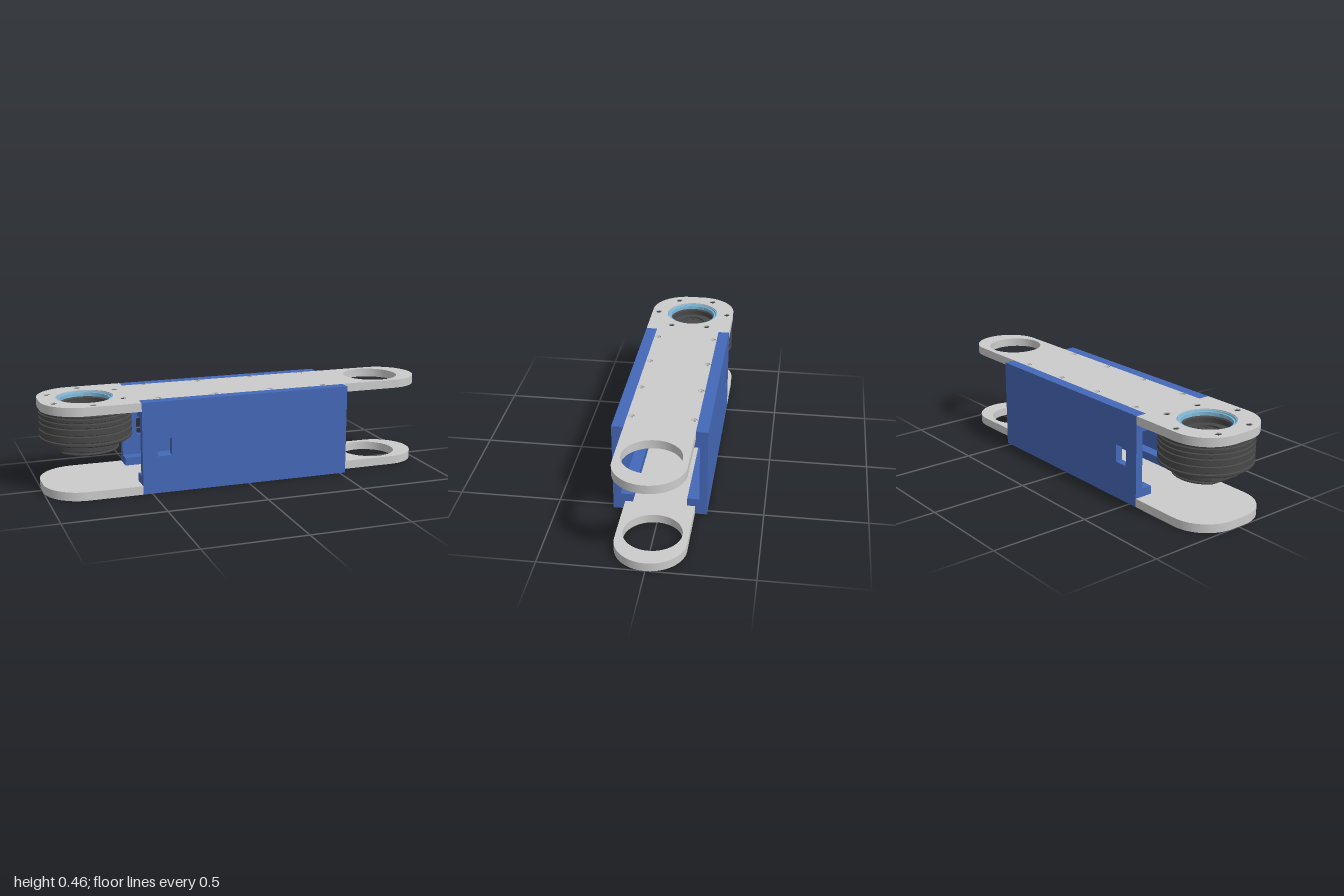
import * as THREE from 'three';
import { toCreasedNormals } from 'three/addons/utils/BufferGeometryUtils.js';

const H = 0.458, T = 0.043;          // overall height, plate thickness
const MX = -0.773, HX = 0.767;       // motor axis, pivot hole axis
const X0 = -0.545, X1 = 0.53;        // side rail ends
const mat = (color) => new THREE.MeshStandardMaterial({ color });
const grey = mat(0xcccccc), blue = mat(0x4468b8), dark = mat(0x484848), ringBlue = mat(0x7fb8d8);

function add(group, name, geometry, material) {
  const mesh = new THREE.Mesh(toCreasedNormals(geometry, 0.5), material);
  mesh.name = name;
  group.add(mesh);
  return mesh;
}
const extrude = (shape, depth) =>
  new THREE.ExtrudeGeometry(shape, { depth, bevelEnabled: false, curveSegments: 24 });
const lathe = (pts, seg) => new THREE.LatheGeometry(pts.map(([r, y]) => new THREE.Vector2(r, y)), seg);
const polygon = (pts) => new THREE.Shape(pts.map(([x, y]) => new THREE.Vector2(x, y)));

// Fastener positions
const railScrews = [];
for (const x of [-0.444, -0.152, 0.136, 0.424]) for (const z of [-0.15, 0.15]) railScrews.push([x, z]);
const motorScrews = [];
for (let i = 0; i < 6; i++) {
  const a = Math.PI / 6 + i * Math.PI / 3;
  motorScrews.push([MX + 0.194 * Math.cos(a), 0.194 * Math.sin(a)]);
}

// Plate: wide rounded motor end, narrow neck between the rails, round pivot end
function plateGeometry(holes) {
  const w = 0.228, n = 0.17, r = 0.19;
  const s = new THREE.Shape();
  s.moveTo(X0, -w);
  s.lineTo(X0, -n);
  s.lineTo(1 - n, -n);
  s.absarc(1 - n, 0, n, -Math.PI / 2, Math.PI / 2, false);
  s.lineTo(X0, n);
  s.lineTo(X0, w);
  s.lineTo(-1 + r, w);
  s.absarc(-1 + r, w - r, r, Math.PI / 2, Math.PI, false);
  s.absarc(-1 + r, r - w, r, Math.PI, Math.PI * 1.5, false);
  for (const [x, z, rad] of holes) {
    s.holes.push(new THREE.Path().absarc(x, -z, rad, 0, Math.PI * 2, true));
  }
  return extrude(s, T).rotateX(-Math.PI / 2);
}

// Screw with a hex socket, head at the top
function screwGeometry() {
  return lathe([[0, 0], [0.0165, 0], [0.0165, 0.036], [0.014, 0.039], [0.008, 0.039], [0.008, 0.024], [0, 0.024]], 18);
}

// Side rail for +z: pierced wall and two stepped flanges
function makeRail() {
  const rail = new THREE.Group();
  const wall = polygon([[X0, 0], [X1, 0], [X1, H], [X0, H]]);
  wall.holes.push(new THREE.Path([[-0.47, 0.186], [-0.47, 0.274], [-0.398, 0.274], [-0.398, 0.186]]
    .map(([x, y]) => new THREE.Vector2(x, y))));
  add(rail, 'railWall', extrude(wall, 0.038), blue).position.z = 0.19;
  for (const top of [false, true]) {
    let pts = [[0.19, 0], [0.17, 0], [0.17, T], [0.132, T], [0.132, 0.084], [0.19, 0.084]];
    if (top) pts = pts.map(([z, y]) => [z, H - y]);
    const g = extrude(polygon(pts.map(([z, y]) => [-z, y])), X1 - X0).rotateY(Math.PI / 2);
    add(rail, top ? 'upperFlange' : 'lowerFlange', g, blue).position.x = X0;
  }
  return rail;
}

// Motor: grooved drum, smaller rear housing with a flat, recessed output hub
function makeMotor() {
  const motor = new THREE.Group();
  motor.name = 'motor';
  motor.position.x = MX;
  const R = 0.2265, d = 0.006;
  const drum = [[0, 0.258], [R - 0.008, 0.258], [R, 0.264]];
  for (const y of [0.278, 0.315, 0.35, 0.376, 0.4]) {
    drum.push([R, y - 0.005], [R - d, y - 0.002], [R - d, y + 0.002], [R, y + 0.005]);
  }
  drum.push([R, 0.411], [R - 0.006, 0.415], [0.139, 0.415], [0.139, 0.43], [0.12, 0.43], [0.114, 0.424],
    [0.114, 0.398], [0.073, 0.398], [0.073, 0.404], [0.066, 0.404], [0.066, 0.396], [0.032, 0.396],
    [0.032, 0.401], [0, 0.401]);
  add(motor, 'motorDrum', lathe(drum, 64), dark);

  const r = 0.161;
  const rear = [[0, 0.2], [r - 0.005, 0.2], [r, 0.205]];
  for (const y of [0.214, 0.247]) {
    rear.push([r, y - 0.005], [r - 0.005, y - 0.002], [r - 0.005, y + 0.002], [r, y + 0.005]);
  }
  rear.push([r, 0.259]);
  const g = lathe(rear, 64), p = g.attributes.position;
  for (let i = 0; i < p.count; i++) p.setX(i, Math.max(p.getX(i), -0.133));
  add(motor, 'motorRearHousing', g, dark);

  // Hub bolts
  for (let i = 0; i < 8; i++) {
    const a = i * Math.PI / 4;
    const bolt = add(motor, 'hubBolt', new THREE.CylinderGeometry(0.006, 0.006, 0.006, 12), dark);
    bolt.position.set(0.05 * Math.cos(a), 0.398, 0.05 * Math.sin(a));
  }
  add(motor, 'bearingRing', lathe([[0.121, 0.425], [0.14, 0.425], [0.14, 0.452], [0.137, 0.455],
    [0.132, 0.455], [0.129, 0.448], [0.121, 0.448], [0.121, 0.425]], 64), ringBlue);
  return motor;
}

export function createModel() {
  const model = new THREE.Group();
  model.name = 'robotArmLink';

  const pivot = [HX, 0, 0.14];
  const screwHole = ([x, z]) => [x, z, 0.0165];
  add(model, 'lowerPlate', plateGeometry([pivot, ...railScrews.map(screwHole)]), grey);
  add(model, 'upperPlate', plateGeometry([pivot, [MX, 0, 0.14],
    ...railScrews.map(screwHole), ...motorScrews.map(screwHole)]), grey).position.y = H - T;

  // Rails, mirrored by a half turn so that the window is kept at the motor end
  const left = makeRail();
  left.name = 'frontRail';
  const right = makeRail();
  right.name = 'backRail';
  for (const mesh of right.children) {
    const g = mesh.geometry, p = g.attributes.position, n = g.attributes.normal;
    // reflect in z and swap two corners of each triangle
    for (const a of [p, n]) {
      for (let i = 0; i < a.count; i++) a.setZ(i, -a.getZ(i));
      for (let i = 0; i < a.count; i += 3) {
        const v = new THREE.Vector3().fromBufferAttribute(a, i + 1);
        a.setXYZ(i + 1, a.getX(i + 2), a.getY(i + 2), a.getZ(i + 2));
        a.setXYZ(i + 2, v.x, v.y, v.z);
      }
    }
    mesh.position.z *= -1;
  }
  model.add(left, right, makeMotor());

  // Screws
  for (const [x, z] of railScrews) {
    add(model, 'upperRailScrew', screwGeometry(), grey).position.set(x, H - T, z);
    const low = add(model, 'lowerRailScrew', screwGeometry(), grey);
    low.position.set(x, T, z);
    low.rotation.x = Math.PI;
  }
  for (const [x, z] of motorScrews) {
    add(model, 'motorScrew', screwGeometry(), dark).position.set(x, H - T, z);
  }
  return model;
}
